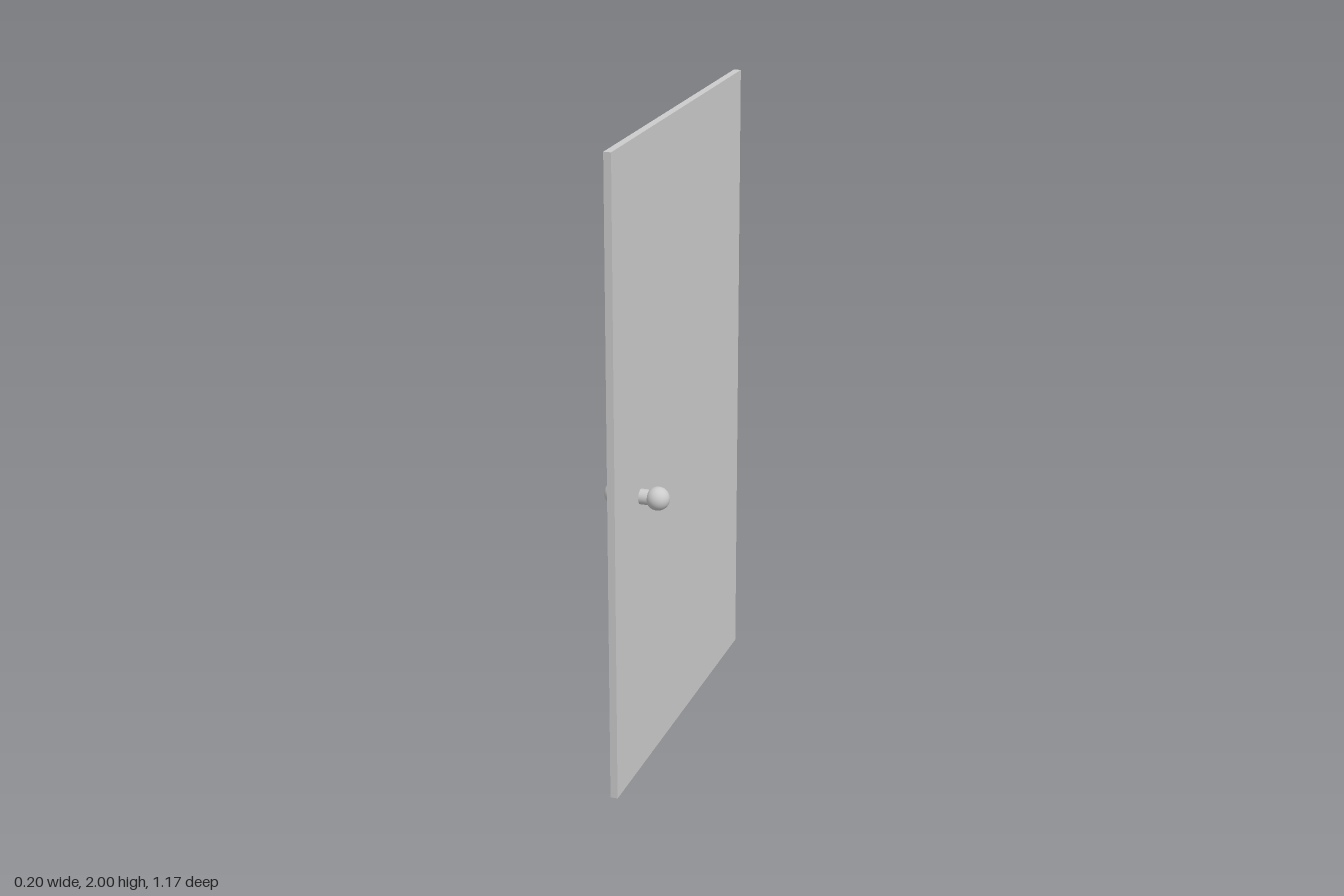
import * as THREE from 'three';

const KNOB_Y = 0.903, KNOB_Z = 0.365;

export function createModel() {
  const group = new THREE.Group();
  group.name = 'door';
  const material = new THREE.MeshStandardMaterial({ color: 0xcccccc });

  const add = (name, geometry, x, y, z) => {
    const mesh = new THREE.Mesh(geometry, material);
    mesh.name = name;
    mesh.position.set(x, y, z);
    group.add(mesh);
    return mesh;
  };

  // Flat door leaf
  add('doorPanel', new THREE.BoxGeometry(0.023, 2, 1.172), 0.001, 1, 0);

  // Spindle running through the leaf, with a round knob on each side
  const spindle = new THREE.CylinderGeometry(0.0235, 0.0235, 0.13, 32);
  add('knobSpindle', spindle, 0, KNOB_Y, KNOB_Z).rotation.z = Math.PI / 2;

  const ball = new THREE.SphereGeometry(0.036, 32, 20);
  for (const [name, side] of [['leftKnob', 1], ['rightKnob', -1]]) {
    add(name, ball, side * 0.0665, KNOB_Y, KNOB_Z);
  }

  return group;
}
